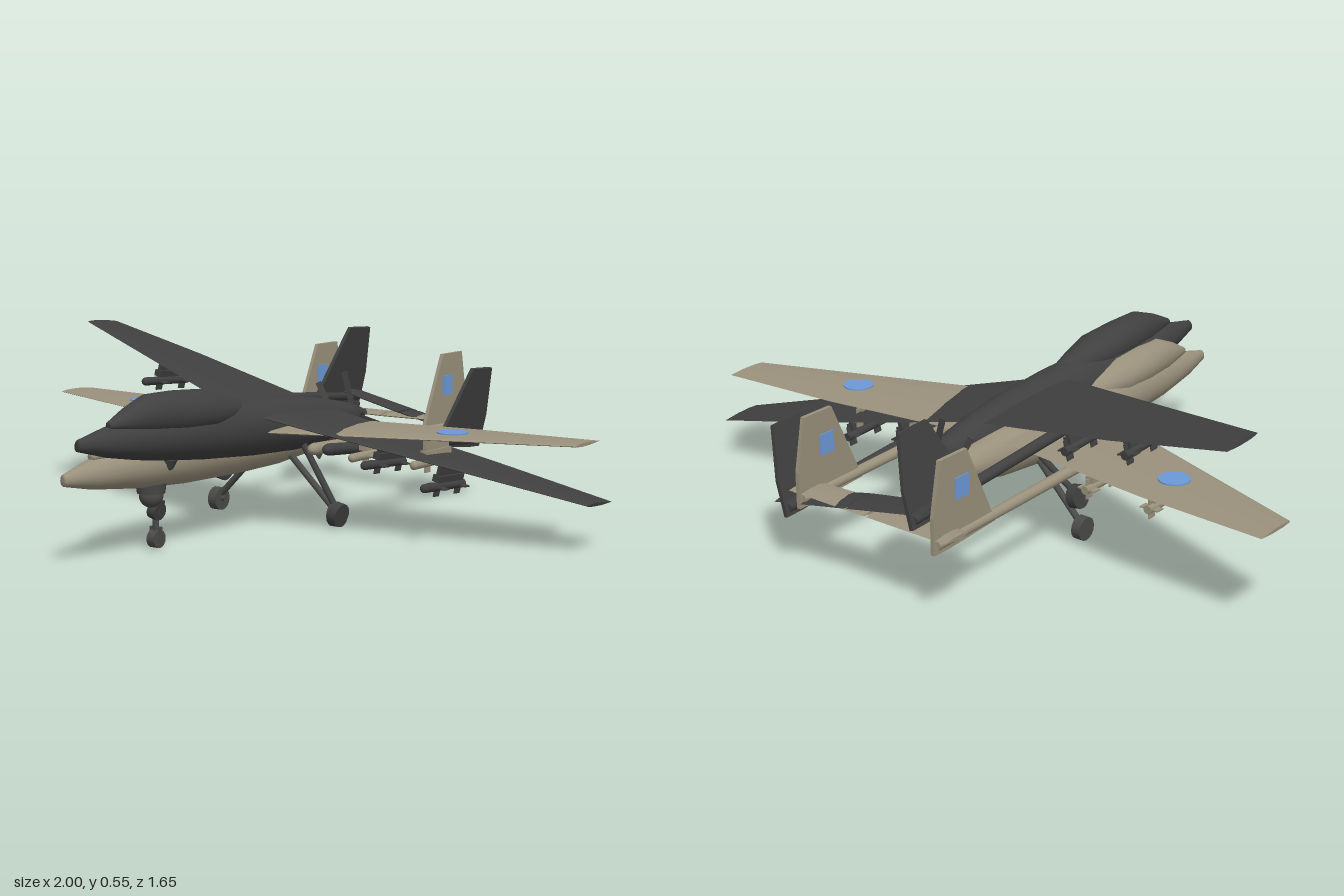
import * as THREE from 'three';

const paint = (name, color) => {
  const m = new THREE.MeshStandardMaterial({ color });
  m.name = name;
  return m;
};

// Skin a list of closed rings of [x, y, z] points, with capped ends
function loft(rings, smooth) {
  const n = rings[0].length, pos = [], idx = [];
  rings.forEach(r => r.forEach(p => pos.push(...p)));
  for (let i = 0; i < rings.length - 1; i++) {
    for (let j = 0; j < n; j++) {
      const k = (j + 1) % n, a = i * n + j, b = a + n, c = (i + 1) * n + k, d = i * n + k;
      idx.push(a, b, c, a, c, d);
    }
  }
  const last = (rings.length - 1) * n;
  for (let j = 1; j < n - 1; j++) idx.push(0, j, j + 1, last, last + j + 1, last + j);
  let g = new THREE.BufferGeometry();
  g.setAttribute('position', new THREE.Float32BufferAttribute(pos, 3));
  g.setIndex(idx);
  if (!smooth) g = g.toNonIndexed();
  g.computeVertexNormals();
  return g;
}

// Rounded body from stations [z, centre height, half width, half height], front to back
const body = stations => loft(stations.map(([z, y, w, h]) =>
  Array.from({ length: 24 }, (_, j) => {
    const a = j / 24 * Math.PI * 2;
    return [w * Math.cos(a), y + h * Math.sin(a), z];
  })), true);

// Thin aerofoil from sections [x, leading z, trailing z, height, half thickness], +x to -x
const aerofoil = sections => loft(sections.map(([x, le, te, y, t]) => {
  const at = (f, s) => [x, y + s * t, le + (te - le) * f];
  return [at(1, 0), at(0.6, 0.9), at(0.25, 1), at(0.04, 0.5), at(0, 0),
    at(0.04, -0.5), at(0.25, -1), at(0.6, -0.9)];
}), false);

function createAircraft(hull, dark, mark) {
  const g = new THREE.Group();
  const add = (name, geo, mat, x = 0, y = 0, z = 0, parent = g) => {
    const m = new THREE.Mesh(geo, mat);
    m.name = name;
    m.position.set(x, y, z);
    parent.add(m);
    return m;
  };
  const rod = (name, a, b, r, mat, r2 = r) => {
    const p = new THREE.Vector3(...a), q = new THREE.Vector3(...b);
    const m = add(name, new THREE.CylinderGeometry(r2, r, p.distanceTo(q), 16), mat);
    m.position.copy(p).lerp(q, 0.5);
    m.quaternion.setFromUnitVectors(new THREE.Vector3(0, 1, 0), q.sub(p).normalize());
    return m;
  };

  // Fuselage and the raised hump behind the nose
  add('fuselage', body([
    [0.83, 0.25, 0.012, 0.017], [0.72, 0.252, 0.04, 0.042], [0.55, 0.255, 0.067, 0.066],
    [0.35, 0.257, 0.08, 0.082], [0.1, 0.257, 0.082, 0.087], [-0.1, 0.256, 0.08, 0.083],
    [-0.25, 0.256, 0.068, 0.07], [-0.38, 0.262, 0.045, 0.045], [-0.42, 0.263, 0.035, 0.038]]), hull);
  add('hump', body([
    [0.72, 0.3, 0.012, 0.01], [0.65, 0.312, 0.034, 0.036], [0.57, 0.322, 0.055, 0.058],
    [0.46, 0.322, 0.067, 0.062], [0.34, 0.322, 0.072, 0.06], [0.25, 0.318, 0.055, 0.044],
    [0.15, 0.31, 0.025, 0.03], [0.08, 0.3, 0.008, 0.03]]), hull);

  // Main wing
  const half = [[0.975, -0.212, -0.353, 0.305, 0.005], [0.57, -0.06, -0.327, 0.305, 0.007],
    [0.06, 0.132, -0.258, 0.305, 0.01]];
  const mirrored = half.map(([x, ...r]) => [-x, ...r]).reverse();
  add('wing', aerofoil([...half, ...mirrored]), hull);

  // Tail fin outline, drawn in z and y
  const fin = new THREE.Shape([[-0.55, 0.225], [-0.665, 0.475], [-0.775, 0.475], [-0.805, 0.32],
    [-0.805, 0.212], [-0.74, 0.212]].map(p => new THREE.Vector2(...p)).reverse());
  const finGeo = new THREE.ExtrudeGeometry(fin, { depth: 0.012, bevelEnabled: false });
  finGeo.rotateY(-Math.PI / 2).translate(0.006, 0, 0);

  for (const s of [1, -1]) {
    // Booms, fins and tailplane halves
    rod('boom', [s * 0.245, 0.258, 0.02], [s * 0.245, 0.236, -0.79], 0.018, hull, 0.015);
    const cap = add('boomNose', new THREE.SphereGeometry(0.018, 16, 12), hull, s * 0.245, 0.258, 0.02);
    cap.scale.z = 1.6;
    add('tailFin', finGeo, hull, s * 0.245);
    const tail = [[0.285, -0.705, -0.8, 0.255, 0.006], [0.005, -0.69, -0.8, 0.255, 0.007]];
    add('tailplane', aerofoil(s > 0 ? tail : tail.map(([x, ...r]) => [-x, ...r]).reverse()), hull);

    // Painted markings
    if (mark) {
      add('wingDisc', new THREE.CylinderGeometry(0.046, 0.046, 0.008, 32), mark, s * 0.588, 0.311, -0.185);
      for (const d of [1, -1]) {
        add('finPanel', new THREE.BoxGeometry(0.004, 0.062, 0.055), mark, s * 0.245 + d * 0.007, 0.375, -0.69);
      }
    }

    // Main landing gear
    rod('mainLeg', [s * 0.05, 0.215, -0.11], [s * 0.215, 0.055, -0.12], 0.01, dark);
    rod('mainAxle', [s * 0.2, 0.04, -0.12], [s * 0.24, 0.04, -0.12], 0.009, dark);
    rod('mainWheel', [s * 0.212, 0.038, -0.12], [s * 0.242, 0.038, -0.12], 0.036, dark);

    // Pylons with stores
    for (const x of [0.33, 0.545]) {
      add('pylon', new THREE.BoxGeometry(0.012, 0.052, 0.12), hull, s * x, 0.277, -0.165);
      add('rack', new THREE.BoxGeometry(0.024, 0.02, 0.13), hull, s * x, 0.255, -0.165);
      rod('store', [s * x, 0.23, -0.25], [s * x, 0.23, -0.05], 0.013, hull);
      add('storeNose', new THREE.SphereGeometry(0.013, 16, 10), hull, s * x, 0.23, -0.05);
      for (const z of [-0.23, -0.12]) {
        for (const a of [0, Math.PI / 2]) {
          add('storeFin', new THREE.BoxGeometry(0.06, 0.004, 0.028), hull, s * x, 0.23, z).rotation.z = a;
        }
      }
    }
  }

  // Nose gear and sensor turret
  add('turretCollar', new THREE.CylinderGeometry(0.045, 0.04, 0.03, 24), dark, 0, 0.18, 0.47);
  add('turret', new THREE.SphereGeometry(0.035, 24, 16), dark, 0, 0.158, 0.47);
  rod('noseLeg', [0, 0.17, 0.455], [0, 0.05, 0.45], 0.009, dark);
  for (const s of [1, -1]) {
    add('noseFork', new THREE.BoxGeometry(0.004, 0.04, 0.014), dark, s * 0.017, 0.042, 0.45);
  }
  add('forkBridge', new THREE.BoxGeometry(0.038, 0.006, 0.014), dark, 0, 0.062, 0.45);
  rod('noseWheel', [-0.014, 0.03, 0.45], [0.014, 0.03, 0.45], 0.026, dark);

  // Pusher engine and propeller
  rod('engine', [0, 0.263, -0.41], [0, 0.263, -0.455], 0.026, dark);
  for (let i = 0; i < 6; i++) {
    const a = (i + 0.5) * Math.PI / 3, c = Math.cos(a), d = Math.sin(a);
    rod('engineCylinder', [c * 0.015, 0.263 + d * 0.015, -0.435],
      [c * 0.042, 0.263 + d * 0.042, -0.435], 0.01, dark);
  }
  rod('hub', [0, 0.263, -0.455], [0, 0.263, -0.475], 0.014, dark, 0.006);
  for (let i = 0; i < 3; i++) {
    const blade = new THREE.Group();
    blade.name = 'propellerBlade';
    blade.position.set(0, 0.263, -0.432);
    blade.rotation.z = i * Math.PI * 2 / 3;
    g.add(blade);
    add('blade', new THREE.BoxGeometry(0.13, 0.018, 0.004), dark, 0.075, 0, 0, blade).rotation.x = 0.25;
  }
  return g;
}

export function createModel() {
  const tan = paint('tan', 0x9a917c), charcoal = paint('charcoal', 0x404040);
  const gunmetal = paint('gunmetal', 0x4a4a48), blue = paint('blue', 0x6c99d6);
  const model = new THREE.Group();
  model.name = 'aircraftPair';

  // Level aircraft
  const level = createAircraft(tan, gunmetal, blue);
  level.name = 'levelAircraft';
  level.position.x = -0.025;

  // Banked aircraft, pivoting about the middle of its wing
  const banked = createAircraft(charcoal, charcoal, null);
  banked.name = 'wingPivotContent';
  banked.position.set(0, -0.305, 0.285);
  const pivot = new THREE.Group();
  pivot.name = 'bankedAircraft';
  pivot.rotation.set(-0.055, -0.013, -0.207, 'YXZ');
  pivot.position.set(0.045, 0.34, -0.296);
  pivot.add(banked);

  model.add(level, pivot);
  return model;
}
